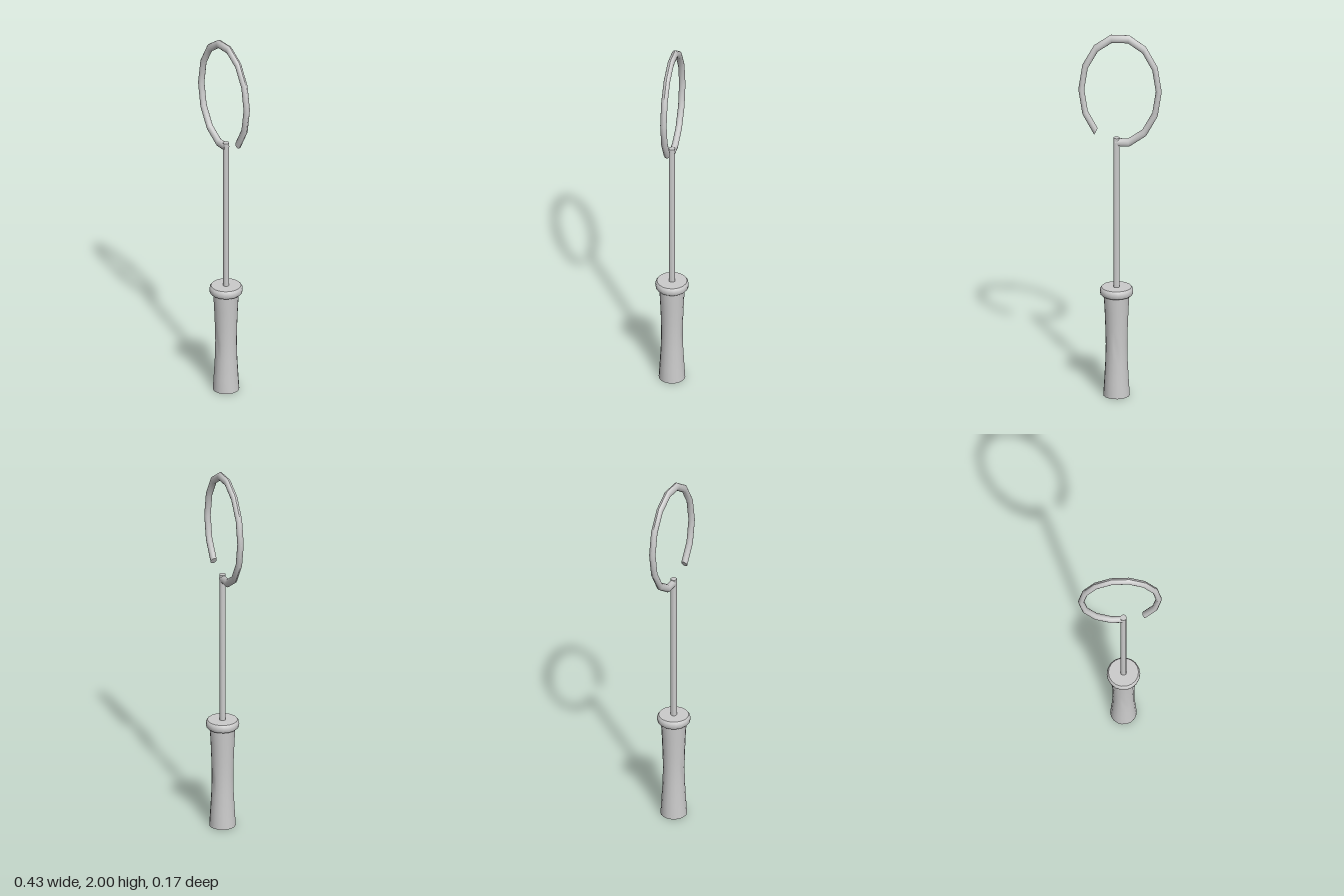
import * as THREE from 'three';
import { toCreasedNormals } from 'three/addons/utils/BufferGeometryUtils.js';

const SIDES = 18;
const AXIS_X = 0.018; // handle and shaft stand slightly off the loop's centre

export function createModel() {
  const group = new THREE.Group();
  const material = new THREE.MeshStandardMaterial({ color: 0xcccccc, side: THREE.DoubleSide });

  const add = (name, geometry) => {
    const mesh = new THREE.Mesh(geometry, material);
    mesh.name = name;
    group.add(mesh);
    return mesh;
  };
  const lathe = (name, profile, sides = SIDES) => {
    const points = profile.map(([r, y]) => new THREE.Vector2(r, y));
    const geometry = new THREE.LatheGeometry(points, sides).rotateY(Math.PI / sides);
    add(name, toCreasedNormals(geometry, 0.7)).position.x = AXIS_X;
  };

  // Waisted grip
  lathe('handle', [[0, 0], [0.069, 0], [0.064, 0.08], [0.058, 0.19], [0.056, 0.28],
    [0.058, 0.37], [0.062, 0.47], [0.067, 0.56], [0, 0.56]]);

  // Rounded collar on top of the grip
  lathe('collar', [[0, 0.556], [0.078, 0.556], [0.085, 0.563], [0.087, 0.578],
    [0.085, 0.591], [0.078, 0.6], [0, 0.6]]);

  // Thin shaft
  lathe('shaft', [[0, 0.58], [0.0165, 0.58], [0.0165, 1.428], [0, 1.428]], 12);

  // Open oval loop: a 14-sided ring with one segment missing
  const R = 0.2015, r = 0.0155, step = Math.PI * 2 / 14;
  const stretch = [1, 1.46, 1.1];
  const start = -2 * step;
  const loop = new THREE.TorusGeometry(R, r, 12, 13, 13 * step).rotateZ(start);
  // The last section is drawn back to end inside the shaft
  const p = loop.attributes.position;
  for (let i = 0; i < p.count; i++) {
    if (i % 14 === 13) p.setX(i, 0.024);
  }
  loop.scale(...stretch);
  loop.computeVertexNormals();
  add('loop', loop).position.y = 1.69;

  // Flat ends of the loop
  const freeEnd = new THREE.CircleGeometry(r, 12).rotateX(Math.PI / 2)
    .translate(R, 0, 0).rotateZ(start).scale(...stretch);
  add('loopFreeEnd', freeEnd).position.y = 1.69;
  const fixedEnd = new THREE.CircleGeometry(r, 12).rotateY(Math.PI / 2)
    .translate(0.024, -R * Math.sin(3 * step), 0).scale(...stretch);
  add('loopFixedEnd', fixedEnd).position.y = 1.69;

  return group;
}
